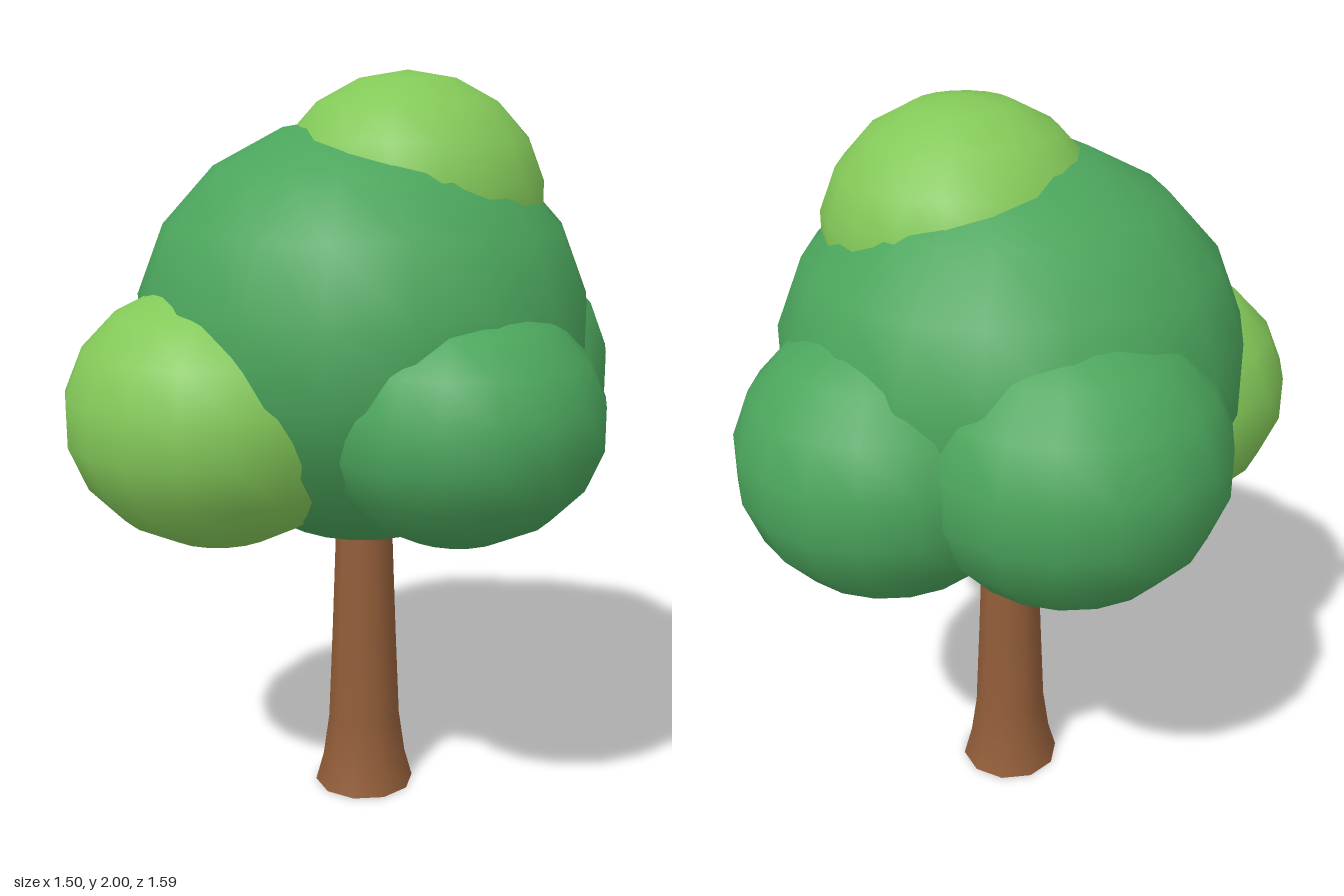
import * as THREE from 'three';

function material(name, color) {
  const m = new THREE.MeshStandardMaterial({ color });
  m.name = name;
  return m;
}

export function createModel() {
  const tree = new THREE.Group();
  tree.name = 'tree';
  const bark = material('bark brown', 0x925d39);
  const leaf = material('leaf green', 0x4ba55c);
  const lightLeaf = material('light leaf green', 0x83c858);

  // Trunk: flared foot tapering up into the crown, with a flat underside
  const sides = 10;
  const profile = [[0.14, 0], [0.118, 0.08], [0.101, 0.2], [0.09, 0.46], [0.079, 0.76], [0.07, 1.0]]
    .map(([r, y]) => new THREE.Vector2(r, y));
  const trunk = new THREE.Group();
  trunk.name = 'trunk';
  trunk.position.set(-0.015, 0, -0.015);
  const stem = new THREE.Mesh(new THREE.LatheGeometry(profile, sides), bark);
  stem.name = 'trunkStem';
  const base = new THREE.Mesh(new THREE.CircleGeometry(0.14, sides, Math.PI / 2).rotateX(Math.PI / 2), bark);
  base.name = 'trunkBase';
  trunk.add(stem, base);
  tree.add(trunk);

  // Crown: overlapping, slightly flattened leaf clumps
  const clumps = [
    // name, material, centre, horizontal radius, vertical radius
    ['mainCrown', leaf, [-0.015, 1.325, -0.01], 0.61, 0.565],
    ['topClump', lightLeaf, [0.075, 1.66, -0.085], 0.365, 0.34],
    ['frontClump', lightLeaf, [-0.115, 1.14, 0.4], 0.4, 0.347],
    ['leftClump', leaf, [0.38, 1.15, 0.025], 0.378, 0.32],
    ['rightClump', leaf, [-0.36, 1.215, -0.15], 0.408, 0.375],
    ['backClump', leaf, [0.01, 1.175, -0.415], 0.387, 0.362],
  ];
  for (const [name, mat, centre, radius, height] of clumps) {
    const geometry = new THREE.SphereGeometry(1, 18, 9).rotateY(Math.PI / 2);
    geometry.scale(radius, height, radius);
    const clump = new THREE.Mesh(geometry, mat);
    clump.name = name;
    clump.position.set(...centre);
    tree.add(clump);
  }
  return tree;
}
